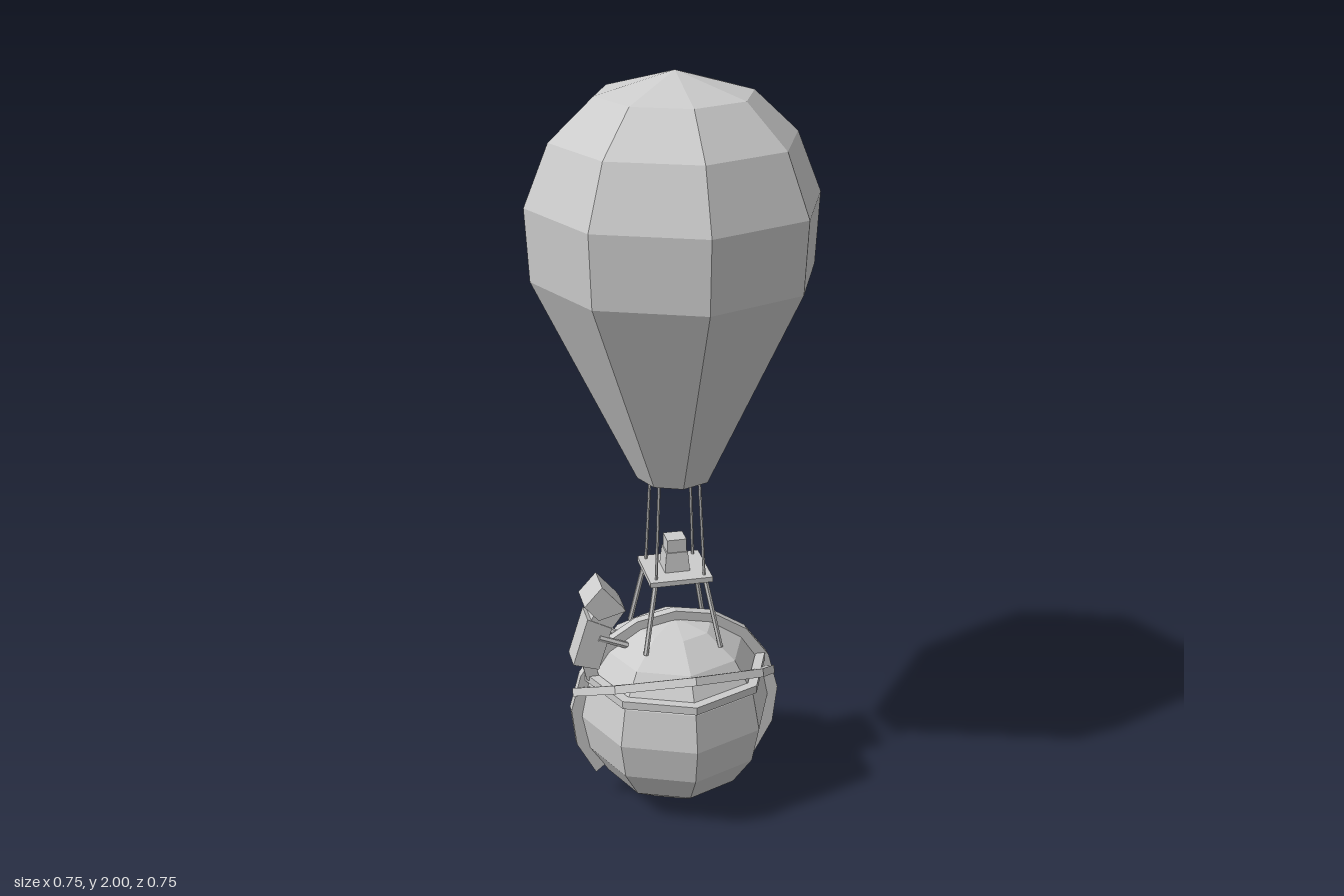
import * as THREE from 'three';

export function createModel() {
  const model = new THREE.Group();
  model.name = 'balloonCraft';
  const grey = new THREE.MeshStandardMaterial({ color: 0xcccccc, flatShading: true });
  grey.name = 'pale grey';

  function add(name, geometry, parent = model) {
    const mesh = new THREE.Mesh(geometry, grey);
    mesh.name = name;
    parent.add(mesh);
    return mesh;
  }
  const v = (x, y, z) => new THREE.Vector3(x, y, z);
  const lathe = (pts) => new THREE.LatheGeometry(pts.map((p) => new THREE.Vector2(...p)), 8);
  // flat ring with a rectangular section
  const ring = (ri, ro, h) => lathe([[ri, -h], [ro, -h], [ro, h], [ri, h], [ri, -h]]);
  // outline in x-y, thickened evenly in z
  function slab(pts, halfDepth, z = 0) {
    const shape = new THREE.Shape(pts.map((p) => new THREE.Vector2(...p)));
    const g = new THREE.ExtrudeGeometry(shape, { depth: halfDepth * 2, bevelEnabled: false });
    return g.translate(0, 0, z - halfDepth);
  }
  // straight bar between two points
  function bar(name, a, b, radius, parent) {
    const dir = b.clone().sub(a);
    const mesh = add(name, new THREE.CylinderGeometry(radius, radius, dir.length(), 6), parent);
    mesh.position.copy(a).add(b).multiplyScalar(0.5);
    mesh.quaternion.setFromUnitVectors(v(0, 1, 0), dir.normalize());
  }

  // Envelope
  add('envelope', lathe([
    [0, 0.953], [0.1, 0.953], [0.363, 1.5], [0.373, 1.685], [0.31, 1.84], [0.198, 1.945], [0, 2],
  ]));

  // Round cabin and its hoops
  add('cabin', new THREE.SphereGeometry(0.267, 8, 8)).position.y = 0.267;
  add('levelHoop', ring(0.23, 0.257, 0.011)).position.y = 0.389;
  const tilted = add('tiltedHoop', ring(0.25, 0.284, 0.011));
  tilted.position.y = 0.337;
  tilted.rotation.x = -0.503;

  const arc = (r, reverse) => Array.from({ length: 13 }, (_, i) => {
    const a = THREE.MathUtils.degToRad(-39 + 21.5 * (reverse ? 12 - i : i));
    return [r * Math.cos(a), 0.267 + r * Math.sin(a)];
  });
  add('uprightHoop', slab([...arc(0.291), ...arc(0.25, true)], 0.013));

  // Struts and ropes at the four corners
  for (const sx of [-1, 1]) {
    for (const sz of [-1, 1]) {
      bar('rope', v(0.065 * sx, 0.68, 0.065 * sz), v(0.053 * sx, 0.96, 0.053 * sz), 0.004);
      bar('strut', v(0.102 * sx, 0.485, 0.102 * sz), v(0.066 * sx, 0.68, 0.066 * sz), 0.007);
    }
  }

  // Burner platform
  add('platform', new THREE.BoxGeometry(0.168, 0.014, 0.168)).position.y = 0.679;
  const base = new THREE.CylinderGeometry(0.029 * Math.SQRT2, 0.034 * Math.SQRT2, 0.055, 4);
  add('burnerBase', base.rotateY(Math.PI / 4)).position.y = 0.7125;
  add('burnerTop', new THREE.BoxGeometry(0.052, 0.04, 0.052)).position.y = 0.756;

  // Rider leaning on the side of the cabin
  const rider = new THREE.Group();
  rider.name = 'rider';
  model.add(rider);
  add('body', slab([[-0.286, 0.442], [-0.217, 0.42], [-0.18, 0.54], [-0.245, 0.574]], 0.038), rider);
  add('head', slab([[-0.235, 0.57], [-0.185, 0.53], [-0.143, 0.588], [-0.152, 0.6], [-0.2, 0.635]], 0.036), rider);
  add('hat', slab([[-0.254, 0.616], [-0.217, 0.572], [-0.143, 0.592], [-0.152, 0.606], [-0.206, 0.669]], 0.047), rider);
  for (const s of [-1, 1]) {
    bar('arm', v(-0.215, 0.515, 0.036 * s), v(-0.138, 0.48, 0.03 * s), 0.009, rider);
    add('leg', slab([[-0.262, 0.445], [-0.25, 0.39], [-0.215, 0.38], [-0.222, 0.43]], 0.012, 0.022 * s), rider);
  }
  return model;
}
